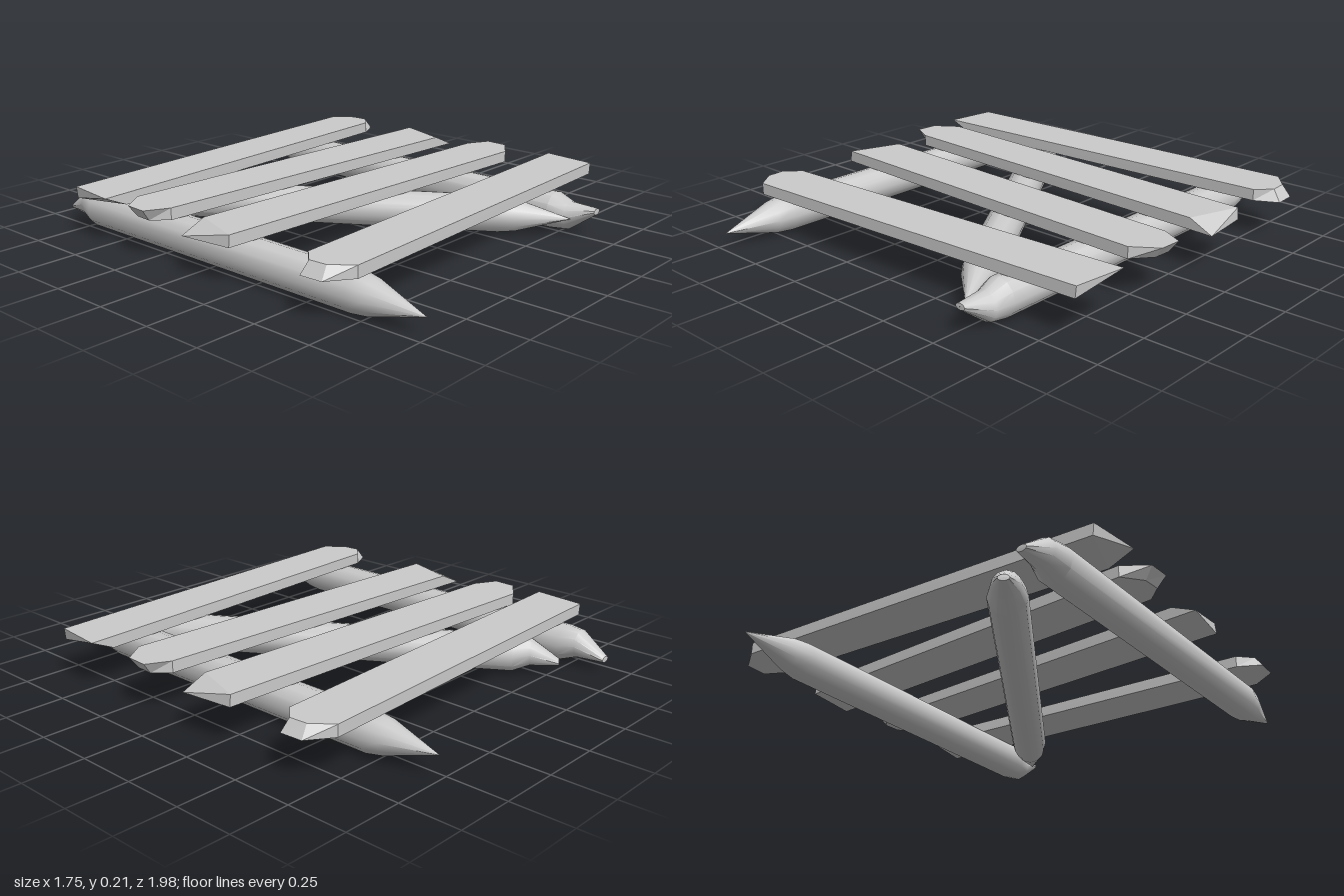
import * as THREE from 'three';
import { toCreasedNormals } from 'three/addons/utils/BufferGeometryUtils.js';

const SIDES = 12;

// Log along z: sharpened at +z, hewn to a low blunt wedge at -z.
// Each ring is [z, centre y, half width, half height].
function logGeometry() {
  const rings = [
    [0.99, -0.01, 0.001, 0.001],
    [0.77, -0.003, 0.066, 0.068],
    [0.70, 0, 0.077, 0.078],
    [-0.71, 0, 0.077, 0.078],
    [-0.78, 0.01, 0.057, 0.06],
    [-0.9, -0.03, 0.022, 0.013],
    [-0.901, -0.03, 0.0005, 0.0005],
  ];
  const pos = [], index = [];
  for (const [z, cy, rx, ry] of rings) {
    for (let k = 0; k < SIDES; k++) {
      const a = (k / SIDES) * Math.PI * 2;
      pos.push(rx * Math.cos(a), cy + ry * Math.sin(a), z);
    }
  }
  for (let i = 0; i < rings.length - 1; i++) {
    for (let k = 0; k < SIDES; k++) {
      const n = (k + 1) % SIDES;
      const a = i * SIDES + k, b = i * SIDES + n;
      const c = a + SIDES, d = b + SIDES;
      index.push(a, c, d, a, d, b);
    }
  }
  const g = new THREE.BufferGeometry();
  g.setAttribute('position', new THREE.Float32BufferAttribute(pos, 3));
  g.setIndex(index);
  return toCreasedNormals(g, 0.6);
}

// Plank along x: chipped point at +x, slanted cut at -x. Outlines are [x, z].
function plankGeometry() {
  const h = 0.024;
  const top = [[-0.85, -0.07], [0.77, -0.145], [0.835, -0.065],
    [0.84, 0.01], [0.78, 0.07], [-0.875, 0.155]].map(([x, z]) => [x, h, z]);
  const bottom = [[-0.845, -0.07], [0.77, -0.145], [0.87, -0.075],
    [0.875, 0.02], [0.78, 0.07], [-0.77, 0.15]].map(([x, z]) => [x, -h, z]);
  const pos = [];
  const fan = (...p) => {
    for (let i = 1; i < p.length - 1; i++) pos.push(...p[0], ...p[i], ...p[i + 1]);
  };
  fan(...[...top].reverse());
  fan(...bottom);
  top.forEach((t, i) => {
    const j = (i + 1) % top.length;
    fan(t, top[j], bottom[j], bottom[i]);
  });
  const g = new THREE.BufferGeometry();
  g.setAttribute('position', new THREE.Float32BufferAttribute(pos, 3));
  g.computeVertexNormals();
  return g;
}

export function createModel() {
  const group = new THREE.Group();
  const smooth = new THREE.MeshStandardMaterial({ color: 0xcccccc });
  const flat = new THREE.MeshStandardMaterial({ color: 0xcccccc, flatShading: true });

  const add = (name, geometry, material, position, rotation) => {
    const mesh = new THREE.Mesh(geometry, material);
    mesh.name = name;
    mesh.position.set(...position);
    mesh.rotation.set(...rotation);
    group.add(mesh);
  };

  // Two side logs laid head to tail, and a diagonal brace between them
  const log = logGeometry();
  add('rightLog', log, smooth, [-0.705, 0.084, 0], [0, 0, 0]);
  add('leftLog', log, smooth, [0.53, 0.082, 0], [Math.PI, 0, 0]);
  add('diagonalLog', log, smooth, [-0.06, 0.087, -0.02], [0, 0.566, 0]);

  // Four planks across, the same board turned and flipped
  const plank = plankGeometry();
  const y = 0.187;
  add('backPlank', plank, flat, [0, y, -0.61], [0, 0, 0]);
  add('backMiddlePlank', plank, flat, [0, y, -0.245], [0, 0, Math.PI]);
  add('frontMiddlePlank', plank, flat, [0, y, 0.15], [Math.PI, 0, 0]);
  add('frontPlank', plank, flat, [0, y, 0.61], [0, Math.PI, 0]);

  return group;
}
